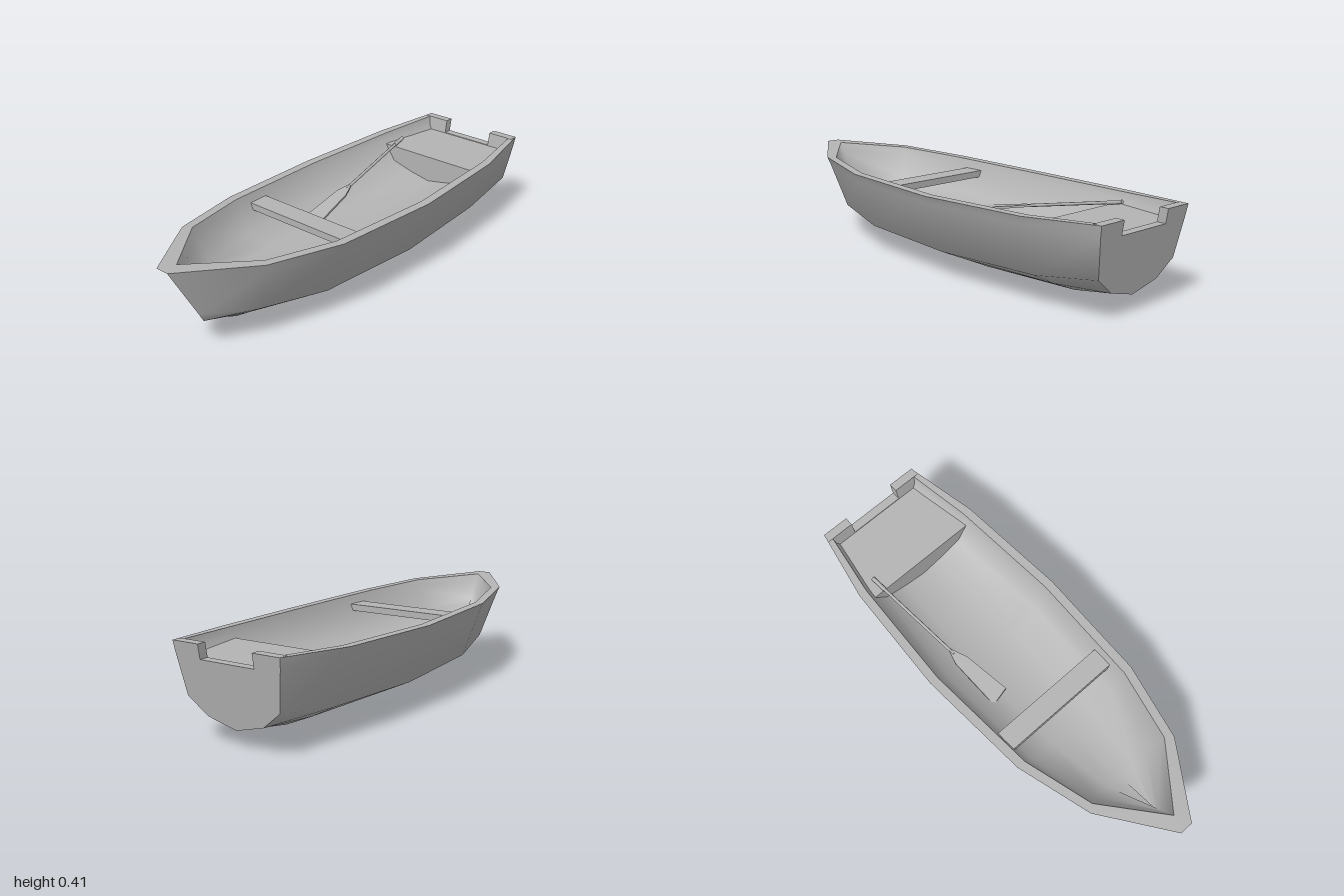
import * as THREE from 'three';
import { mergeVertices } from 'three/addons/utils/BufferGeometryUtils.js';

// Hull stations, bow (-x) to stern (+x). Sections are [y, half width] from gunwale to keel.
const outerStations = [
  { top: -1.0, keel: -0.85, pts: [[0.41, 0.03], [0.385, 0.031], [0.18, 0.04], [0.142, 0.04], [0.133, 0]] },
  { top: -0.7, keel: -0.65, pts: [[0.395, 0.238], [0.36, 0.224], [0.155, 0.155], [0.103, 0.078], [0.05, 0]] },
  { top: -0.36, keel: -0.35, pts: [[0.378, 0.326], [0.345, 0.31], [0.126, 0.23], [0.071, 0.115], [0.016, 0]] },
  { top: 0.16, keel: 0.16, pts: [[0.371, 0.352], [0.34, 0.336], [0.119, 0.26], [0.061, 0.13], [0.002, 0]] },
  { top: 0.67, keel: 0.66, pts: [[0.379, 0.32], [0.346, 0.308], [0.132, 0.235], [0.075, 0.125], [0.021, 0]] },
  { top: 1.0, keel: 0.95, pts: [[0.395, 0.253], [0.355, 0.249], [0.18, 0.22], [0.11, 0.133], [0.075, 0]] },
];
// The inside is a shallow bowl with a raised floor
const innerStations = [
  { top: -0.93, keel: -0.83, pts: [[0.408, 0], [0.37, 0], [0.29, 0], [0.265, 0], [0.24, 0]] },
  { top: -0.675, keel: -0.64, pts: [[0.394, 0.205], [0.36, 0.195], [0.25, 0.15], [0.222, 0.075], [0.205, 0]] },
  { top: -0.36, keel: -0.35, pts: [[0.378, 0.286], [0.345, 0.276], [0.236, 0.23], [0.203, 0.115], [0.185, 0]] },
  { top: 0.16, keel: 0.16, pts: [[0.371, 0.312], [0.34, 0.302], [0.23, 0.252], [0.194, 0.125], [0.176, 0]] },
  { top: 0.67, keel: 0.66, pts: [[0.379, 0.282], [0.346, 0.272], [0.26, 0.212], [0.23, 0.105], [0.21, 0]] },
  { top: 0.965, keel: 0.945, pts: [[0.394, 0.234], [0.355, 0.228], [0.275, 0.18], [0.25, 0.09], [0.235, 0]] },
];

// Full mirrored cross-section of a raked station, from the +z gunwale under to the -z gunwale
function sectionRow({ top, keel, pts }) {
  const yTop = pts[0][0], yKeel = pts[pts.length - 1][0];
  const half = pts.map(([y, z]) => [top + (keel - top) * (yTop - y) / (yTop - yKeel), y, z]);
  return [...half, ...half.slice(0, -1).reverse().map(([x, y, z]) => [x, y, z && -z])];
}

// Smooth surface through rows of points; coincident points share a normal
function loft(rows, flip = false) {
  const n = rows[0].length, index = [];
  for (let i = 0; i < rows.length - 1; i++) {
    for (let j = 0; j < n - 1; j++) {
      const a = i * n + j, b = a + 1, c = a + n, d = c + 1;
      index.push(...(flip ? [a, c, b, b, c, d] : [a, b, c, b, d, c]));
    }
  }
  const geo = new THREE.BufferGeometry();
  geo.setAttribute('position', new THREE.Float32BufferAttribute(rows.flat(2), 3));
  geo.setIndex(index);
  const merged = mergeVertices(geo);
  merged.computeVertexNormals();
  return merged;
}

// Extrude a (z, y) outline along +x
function extrudeAlongX(points, depth) {
  const shape = new THREE.Shape(points.map(([z, y]) => new THREE.Vector2(z, y)));
  return new THREE.ExtrudeGeometry(shape, { depth, bevelEnabled: false }).rotateY(Math.PI / 2);
}

// Move every vertex by a rule, then refresh the normals
function reshape(geo, rule) {
  const p = geo.attributes.position;
  for (let i = 0; i < p.count; i++) p.setXYZ(i, ...rule(p.getX(i), p.getY(i), p.getZ(i)));
  geo.computeVertexNormals();
  return geo;
}

const mirrorOutline = (half) => [...half, ...half.filter(([z]) => z > 0).reverse().map(([z, y]) => [-z, y])];

export function createModel() {
  const boat = new THREE.Group();
  boat.name = 'rowingBoat';
  const grey = new THREE.MeshStandardMaterial({ color: 0xb4b4b4 });
  grey.name = 'plain grey';
  const add = (name, geo, parent = boat) => {
    const mesh = new THREE.Mesh(geo, grey);
    mesh.name = name;
    parent.add(mesh);
    return mesh;
  };

  // Hull shell, outside and inside
  const outer = outerStations.map(sectionRow);
  const inner = innerStations.map(sectionRow);
  add('outerHull', loft(outer));
  add('innerHull', loft(inner, true));

  // Blunt flat stem closing the bow
  const bow = outer[0], last = bow.length - 1;
  add('stem', loft([0, 1, 2, 3, 4].map((k) => [bow[last - k], bow[k]])));

  // Gunwale rim on both sides, joined across the bow
  add('leftGunwale', loft(outer.map((row, i) => [inner[i][0], row[0]])));
  add('rightGunwale', loft(outer.map((row, i) => [row[last], inner[i][last]])));
  add('bowCap', loft([[bow[last], bow[0]], [inner[0][0], inner[0][0]]]));

  // Raked transom with a notch in its top edge
  const sternHalf = outerStations[5].pts.map(([y, z]) => [z, y]).reverse();
  const transom = extrudeAlongX(mirrorOutline([...sternHalf, [0.128, 0.395], [0.128, 0.335]]), 0.04);
  add('transom', reshape(transom, (x, y, z) => [x + 0.96 - (0.395 - y) * 0.156, y, z]));

  // Solid stern bench, tapering with the hull towards the transom
  const bench = extrudeAlongX(mirrorOutline([[0, 0.2], [0.105, 0.222], [0.214, 0.255], [0.27, 0.332]]), 0.31);
  add('sternBench', reshape(bench, (x, y, z) => {
    const t = x / 0.31;
    return [0.64 + x, 0.332 - (0.332 - y) * (1 - 0.2 * t), z * (1 - 0.14 * t)];
  }));

  // Forward thwart
  const thwart = add('thwart', new THREE.BoxGeometry(0.095, 0.03, 0.56));
  thwart.position.set(-0.236, 0.323, 0);

  // Oar leaning from the floor onto the stern bench
  const oar = new THREE.Group();
  oar.name = 'oar';
  boat.add(oar);
  const lift = (x) => 0.207 + (x + 0.05) * 0.194;
  const outline = [[-0.03, -0.095], [0.18, -0.132], [0.25, -0.162], [0.25, -0.177], [0.19, -0.192], [-0.05, -0.184]];
  const bladeShape = new THREE.Shape(outline.map(([x, z]) => new THREE.Vector2(x, -z)));
  const blade = new THREE.ExtrudeGeometry(bladeShape, { depth: 0.01, bevelEnabled: false }).rotateX(-Math.PI / 2);
  add('oarBlade', reshape(blade, (x, y, z) => [x, y - 0.005 + lift(x), z]), oar);
  const pole = (name, x0, z0, x1, z1, radius) => {
    const a = new THREE.Vector3(x0, lift(x0), z0), b = new THREE.Vector3(x1, lift(x1), z1);
    const mesh = add(name, new THREE.CylinderGeometry(radius, radius, a.distanceTo(b), 8), oar);
    mesh.position.copy(a).lerp(b, 0.5);
    mesh.quaternion.setFromUnitVectors(new THREE.Vector3(0, 1, 0), b.sub(a).normalize());
  };
  pole('oarShaft', 0.23, -0.168, 0.65, -0.212, 0.007);
  pole('oarGrip', 0.64, -0.211, 0.71, -0.218, 0.009);

  return boat;
}
